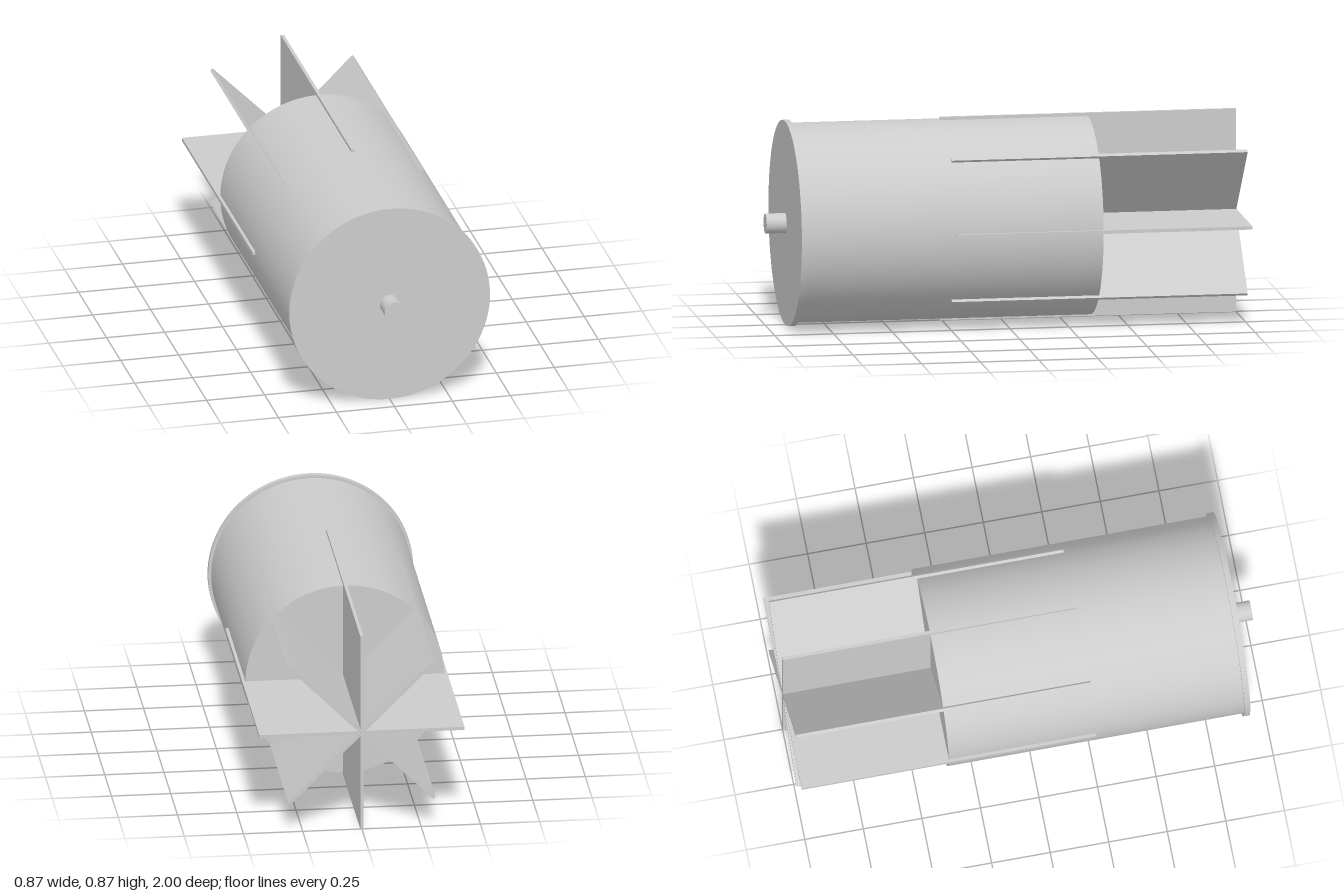
import * as THREE from 'three';

const R = 0.433; // outer radius, also the height of the axis

export function createModel() {
  const model = new THREE.Group();
  const material = new THREE.MeshStandardMaterial({ color: 0xcccccc });

  // Solid cylinder along z between two depths
  const addCylinder = (name, radius, zBack, zFront, segments = 96) => {
    const geometry = new THREE.CylinderGeometry(radius, radius, zFront - zBack, segments);
    geometry.rotateX(Math.PI / 2);
    const mesh = new THREE.Mesh(geometry, material);
    mesh.name = name;
    mesh.position.set(0, R, (zBack + zFront) / 2);
    model.add(mesh);
  };

  addCylinder('drumBody', 0.42, -0.37, 0.89);
  addCylinder('frontFlange', R, 0.89, 0.915);
  addCylinder('shaft', 0.042, 0.915, 1, 48);

  // Eight radial fins: four full-width plates crossing on the axis
  const fins = new THREE.Group();
  fins.name = 'fins';
  const finBack = -1, finFront = 0.257;
  const plate = new THREE.BoxGeometry(2 * R, 0.014, finFront - finBack);
  for (let i = 0; i < 4; i++) {
    const fin = new THREE.Mesh(plate, material);
    fin.name = 'finPlate';
    fin.position.set(0, R, (finBack + finFront) / 2);
    fin.rotation.z = (i * Math.PI) / 4;
    fins.add(fin);
  }
  model.add(fins);

  return model;
}
